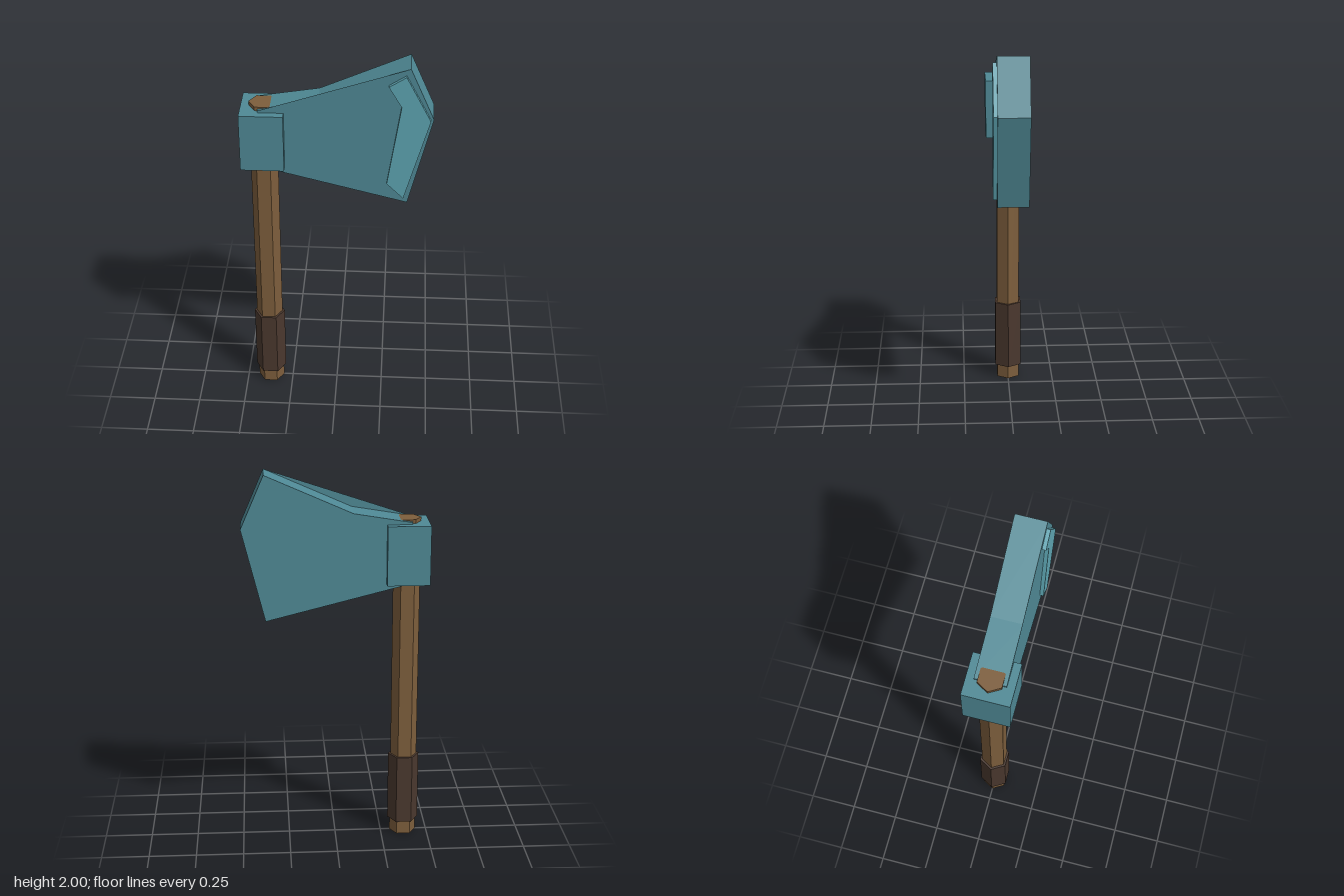
import * as THREE from 'three';

const mat = (color) => new THREE.MeshStandardMaterial({ color, flatShading: true });

export function createModel() {
  const axe = new THREE.Group();
  axe.name = 'axe';
  const wood = mat(0x7d5e3c), wrap = mat(0x4a382e), metal = mat(0x4f8995), edge = mat(0x5ea5b2);
  const shaftX = -0.37;

  const add = (name, geometry, material) => {
    const mesh = new THREE.Mesh(geometry, material);
    mesh.name = name;
    axe.add(mesh);
    return mesh;
  };

  // Six-sided rod with corners pointing along x
  const hexRod = (name, r, y0, y1, material) => {
    const g = new THREE.CylinderGeometry(r, r, y1 - y0, 6).rotateY(Math.PI / 2);
    add(name, g, material).position.set(shaftX, (y0 + y1) / 2, 0);
  };

  // Flat plate from an outline, between two depths
  const plate = (name, points, z0, z1, material) => {
    const shape = new THREE.Shape(points.map(([x, y]) => new THREE.Vector2(x, y)));
    const g = new THREE.ExtrudeGeometry(shape, { depth: z1 - z0, bevelEnabled: false });
    add(name, g, material).position.z = z0;
  };

  // Handle and wrapped grip
  hexRod('handle', 0.07, 0, 1.76, wood);
  hexRod('grip', 0.082, 0.075, 0.455, wrap);

  // Socket block around the handle
  add('socket', new THREE.BoxGeometry(0.22, 0.31, 0.24), metal).position.set(shaftX, 1.585, 0);

  // Blade with a dipped top edge
  const root = [-0.39, 1.75], dip = [-0.09, 1.8], tip = [0.36, 2];
  plate('blade', [[-0.39, 1.43], [0.36, 1.24], [0.48, 1.725], tip, dip, root], -0.08, 0.08, metal);

  // Thin web closing the dip on the front face
  const web = new THREE.ShapeGeometry(new THREE.Shape([root, dip, tip].map(([x, y]) => new THREE.Vector2(x, y))));
  const webMaterial = mat(0x4f8995);
  webMaterial.side = THREE.DoubleSide;
  add('bladeWeb', web, webMaterial).position.z = 0.08;

  // Raised bright strip beside the cutting edge
  plate('edgeStrip', [[0.255, 1.36], [0.34, 1.275], [0.465, 1.725], [0.34, 1.965],
    [0.255, 1.91], [0.32, 1.8]], 0.08, 0.1, edge);

  return axe;
}
